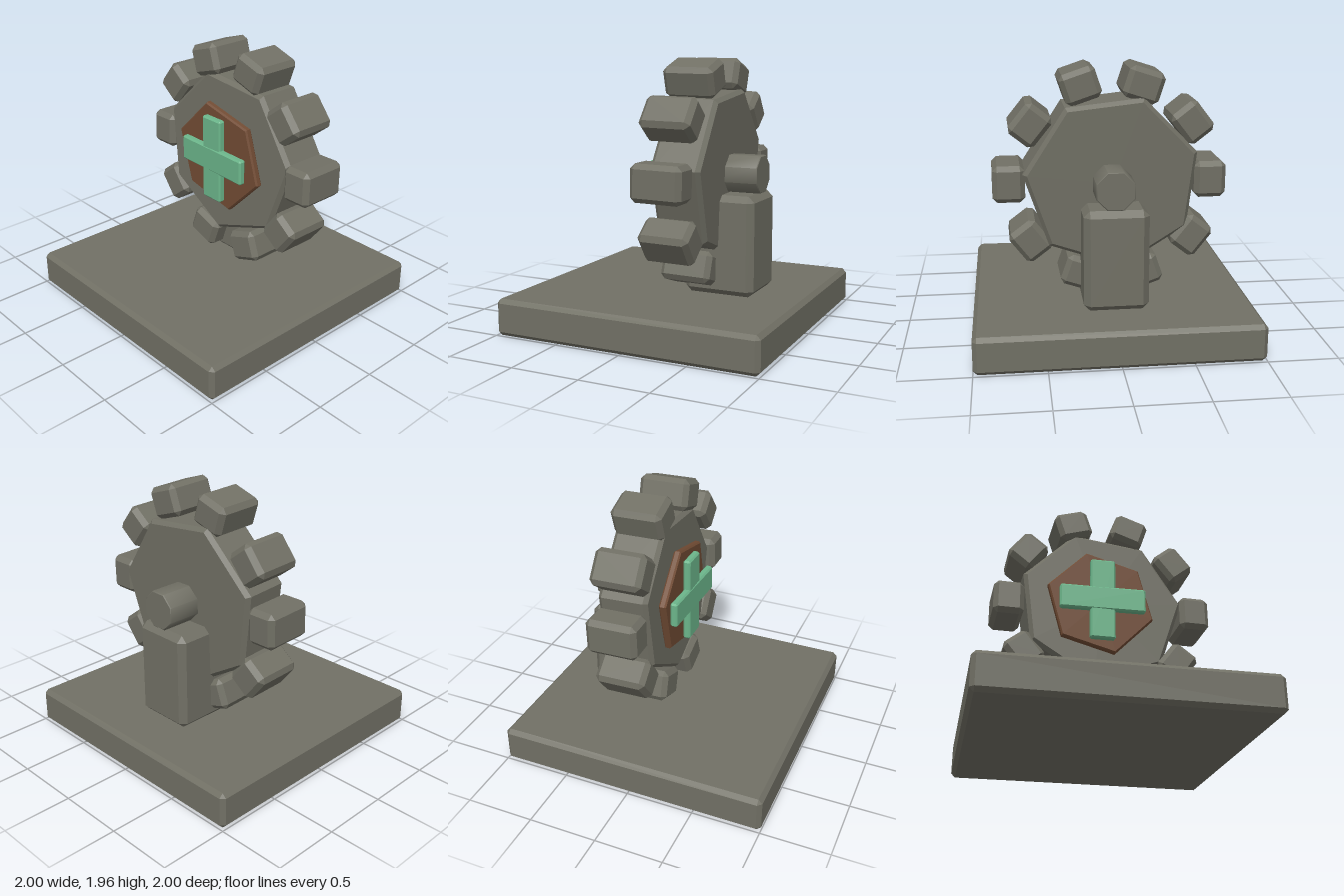
import * as THREE from 'three';
import { toCreasedNormals } from 'three/addons/utils/BufferGeometryUtils.js';
import { ConvexGeometry } from 'three/addons/geometries/ConvexGeometry.js';

const stone = new THREE.MeshStandardMaterial({ color: 0x717065 });
stone.name = 'stone grey';
const rust = new THREE.MeshStandardMaterial({ color: 0x724c34 });
rust.name = 'rust brown';
const mint = new THREE.MeshStandardMaterial({ color: 0x6cb68b });
mint.name = 'mint green';

// Box with every edge cut at 45 degrees
function chamferBox(w, h, d, c) {
  const points = [];
  for (const x of [-1, 1]) for (const y of [-1, 1]) for (const z of [-1, 1]) {
    for (let axis = 0; axis < 3; axis++) {
      const inset = [c, c, c];
      inset[axis] = 0;
      points.push(new THREE.Vector3(x * (w / 2 - inset[0]), y * (h / 2 - inset[1]), z * (d / 2 - inset[2])));
    }
  }
  return new ConvexGeometry(points);
}

// Regular prism along z with chamfered rims; startAngle is the first corner's angle from +x
function prism(sides, r, depth, c, startAngle, crease = 0.3) {
  const h = depth / 2;
  const profile = [[0, -h], [r - c, -h], [r, -h + c], [r, h - c], [r - c, h], [0, h]]
    .map(([x, y]) => new THREE.Vector2(x, y));
  const geo = new THREE.LatheGeometry(profile, sides, startAngle + Math.PI / 2);
  geo.rotateX(Math.PI / 2);
  return toCreasedNormals(geo, crease);
}

export function createModel() {
  const model = new THREE.Group();
  const hubY = 1.137;
  const add = (name, geo, mat, x, y, z, rx = 0, ry = 0, rz = 0) => {
    const mesh = new THREE.Mesh(geo, mat);
    mesh.name = name;
    mesh.position.set(x, y, z);
    mesh.rotation.set(rx, ry, rz);
    model.add(mesh);
    return mesh;
  };

  // Base slab and the post that carries the axle
  add('base', chamferBox(2, 0.268, 2, 0.03), stone, 0, 0.134, 0);
  add('post', chamferBox(0.46, 0.73, 0.53, 0.045), stone, -0.005, 0.63, -0.378);
  add('axle', prism(8, 0.145, 0.4, 0.006, Math.PI / 8, 0.82), stone, 0.005, hubY, -0.44);

  // Slightly tilted seven-sided wheel
  add('wheel', prism(7, 0.64, 0.37, 0.03, THREE.MathUtils.degToRad(7)), stone, 0, hubY, -0.207, -0.03, 0.035);

  // Ten hand-set teeth: radius and twist vary a little
  const radii = [0.73, 0.71, 0.72, 0.72, 0.705, 0.705, 0.715, 0.72, 0.715, 0.72];
  const twists = [0, 0.05, -0.01, 0.0, -0.03, 0, 0.04, -0.02, 0.02, -0.02];
  const tooth = chamferBox(0.23, 0.265, 0.38, 0.035);
  radii.forEach((r, i) => {
    const a = (i * Math.PI) / 5;
    const y = r * Math.sin(a);
    add('tooth' + (i + 1), tooth, stone, r * Math.cos(a), hubY + y, -0.186 - 0.015 * y, -0.02, 0.02, a + twists[i]);
  });

  // Face plate with the raised cross
  add('facePlate', prism(6, 0.42, 0.055, 0.012, THREE.MathUtils.degToRad(45.5)), rust, -0.015, hubY, 0.012, 0.01, 0.035);
  add('crossUpright', chamferBox(0.19, 0.65, 0.055, 0.012), mint, -0.01, hubY, 0.08);
  add('crossBar', chamferBox(0.65, 0.19, 0.055, 0.012), mint, -0.01, hubY, 0.085, 0, -0.025);

  return model;
}
